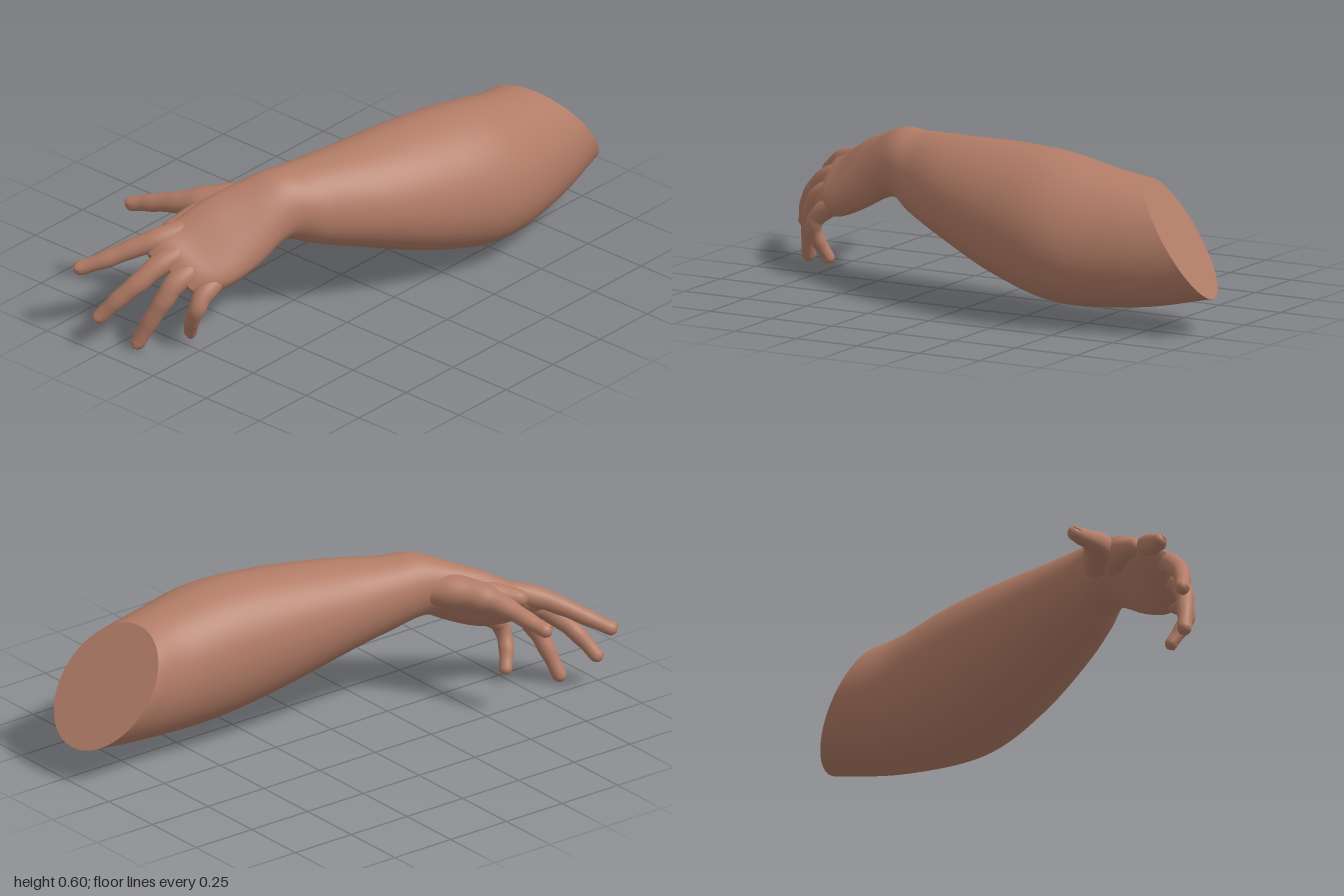
import * as THREE from 'three';

const V = (a) => new THREE.Vector3(...a);
const skinMaterial = new THREE.MeshStandardMaterial({ color: 0xb27c66 });
const DORSAL = V([0.52, 0.71, 0.47]).normalize(); // direction the back of the hand faces

// Surface through rings { c, u, v, e }: centre, two semi-axes, exponent (below 1 is boxier).
function skin(name, rings, sides) {
  const pos = [], index = [];
  const power = (x, e) => Math.sign(x) * Math.abs(x) ** e;
  for (const { c, u, v, e = 1 } of rings) {
    for (let j = 0; j < sides; j++) {
      const a = (j / sides) * Math.PI * 2;
      const p = c.clone().addScaledVector(u, power(Math.cos(a), e)).addScaledVector(v, power(Math.sin(a), e));
      pos.push(p.x, p.y, p.z);
    }
  }
  for (let i = 0; i < rings.length - 1; i++) {
    for (let j = 0; j < sides; j++) {
      const k = (j + 1) % sides, a = i * sides, b = a + sides;
      index.push(a + j, a + k, b + j, a + k, b + k, b + j);
    }
  }
  const geo = new THREE.BufferGeometry();
  geo.setAttribute('position', new THREE.Float32BufferAttribute(pos, 3));
  geo.setIndex(index);
  geo.computeVertexNormals();
  const mesh = new THREE.Mesh(geo, skinMaterial);
  mesh.name = name;
  return mesh;
}

const spline = (points) => new THREE.CatmullRomCurve3(points, false, 'catmullrom', 0.5);
const dot = (c) => ({ c: c.clone(), u: new THREE.Vector3(), v: new THREE.Vector3() });

// Rounded tapering limb along points, with slight swellings at the joints.
function digit(name, points, radii, { bulge = 0.03, up = DORSAL, flat = 0.95 } = {}) {
  const path = spline(points.map(V));
  const size = spline(radii.map((r) => new THREE.Vector3(r, 0, 0)));
  const segs = points.length - 1, steps = segs * 10, rings = [];
  const ring = (c, d, r) => {
    const v = up.clone().addScaledVector(d, -up.dot(d)).normalize();
    const u = v.clone().cross(d).multiplyScalar(r);
    rings.push({ c, u, v: v.multiplyScalar(r * flat) });
  };
  for (let i = 0; i <= steps; i++) {
    const t = i / steps;
    const r = size.getPoint(t).x * (1 + bulge * Math.cos(t * segs * Math.PI * 2));
    ring(path.getPoint(t), path.getTangent(t), r);
  }
  // rounded tip
  const end = path.getPoint(1), d = path.getTangent(1), r = radii[segs] * (1 + bulge);
  for (let i = 1; i <= 8; i++) {
    const a = (i / 8) * Math.PI / 2;
    ring(end.clone().addScaledVector(d, r * Math.sin(a)), d, Math.max(r * Math.cos(a), 1e-5));
  }
  return skin(name, rings, 24);
}

// Shallow nail resting on the last joint.
function nail(name, points, r, up = DORSAL) {
  const path = spline(points.map(V)), d = path.getTangent(1);
  const v = up.clone().addScaledVector(d, -up.dot(d)).normalize();
  const mesh = new THREE.Mesh(new THREE.SphereGeometry(1, 20, 12), skinMaterial);
  mesh.name = name;
  mesh.scale.set(r * 0.62, r * 0.24, r * 0.85);
  mesh.quaternion.setFromRotationMatrix(new THREE.Matrix4().makeBasis(v.clone().cross(d), v, d));
  mesh.position.copy(path.getPoint(1)).addScaledVector(v, r * 0.76);
  return mesh;
}

export function createModel() {
  const arm = new THREE.Group();
  arm.name = 'arm';

  // Forearm, wrist and palm: centre, sideways semi-axis, upward semi-axis
  const sections = [
    [[0.2, 0.335, -0.855], [0.187, 0, -0.048], [0.005, 0.203, 0.135]],
    [[0.23, 0.322, -0.66], [0.203, 0, -0.028], [-0.015, 0.238, 0.07]],
    [[0.235, 0.334, -0.4], [0.235, 0, -0.01], [-0.03, 0.262, 0.02]],
    [[0.192, 0.366, -0.15], [0.223, -0.01, 0], [-0.02, 0.234, 0]],
    [[0.13, 0.403, 0.1], [0.188, -0.02, 0], [-0.005, 0.182, 0]],
    [[0.067, 0.427, 0.28], [0.145, -0.03, 0], [0.005, 0.142, 0]],
    [[0.02, 0.445, 0.4], [0.117, -0.048, 0], [0.03, 0.11, 0.01]],
    [[-0.025, 0.388, 0.54], [0.114, -0.097, 0], [0.036, 0.056, 0.032]],
    [[-0.073, 0.327, 0.665], [0.122, -0.088, -0.01], [0.03, 0.043, 0.028]],
    [[-0.1, 0.305, 0.735], [0.11, -0.074, -0.02], [0.025, 0.034, 0.023]],
    [[-0.112, 0.283, 0.785], [0.088, -0.052, -0.02], [0.012, 0.016, 0.012]],
  ];
  const [cs, us, vs] = [0, 1, 2].map((k) => spline(sections.map((s) => V(s[k]))));
  const rings = [];
  for (let i = 0; i <= 80; i++) {
    const t = i / 80, e = 1 - 0.25 * THREE.MathUtils.smoothstep(t, 0.6, 0.8);
    rings.push({ c: cs.getPoint(t), u: us.getPoint(t), v: vs.getPoint(t), e });
  }
  arm.add(skin('forearmAndPalm', [...rings, dot(rings[80].c)], 64));

  // Flat cut at the elbow end
  arm.add(skin('elbowCap', [dot(rings[0].c), rings[0]], 64));

  // Fingers, each running from inside the palm over its knuckle to the tip
  const fingers = {
    indexFinger: [[-0.075, 0.44, 0.54], [-0.192, 0.38, 0.742], [-0.26, 0.345, 0.82], [-0.325, 0.305, 0.885], [-0.393, 0.27, 0.942]],
    middleFinger: [[-0.04, 0.4, 0.54], [-0.137, 0.325, 0.772], [-0.185, 0.255, 0.87], [-0.235, 0.19, 0.925], [-0.285, 0.122, 0.963]],
    ringFinger: [[0, 0.363, 0.54], [-0.073, 0.275, 0.765], [-0.1, 0.2, 0.83], [-0.135, 0.12, 0.86], [-0.173, 0.028, 0.885]],
    littleFinger: [[0.04, 0.328, 0.54], [0.005, 0.235, 0.715], [0, 0.175, 0.765], [-0.03, 0.11, 0.76], [-0.056, 0.052, 0.737]],
  };
  for (const [name, points] of Object.entries(fingers)) {
    const k = name === 'littleFinger' ? 0.88 : 1;
    arm.add(digit(name, points, [0.034, 0.041, 0.035, 0.031, 0.026].map((r) => r * k)));
    arm.add(nail(name + 'Nail', points, 0.026 * k));
  }

  // Thumb and the web of flesh joining it to the palm
  const thumbUp = V([0.1, 0.8, 0.6]).normalize();
  const thumb = [[0.03, 0.44, 0.33], [-0.1, 0.447, 0.455], [-0.2, 0.434, 0.525], [-0.285, 0.417, 0.56], [-0.38, 0.392, 0.587], [-0.445, 0.374, 0.608]];
  arm.add(digit('thumb', thumb, [0.05, 0.064, 0.054, 0.039, 0.032, 0.027], { up: thumbUp }));
  arm.add(nail('thumbNail', thumb, 0.027, thumbUp));
  arm.add(digit('thumbWeb', [[-0.03, 0.41, 0.46], [-0.135, 0.412, 0.57], [-0.193, 0.387, 0.68]],
    [0.05, 0.062, 0.04], { bulge: 0, flat: 0.85 }));

  return arm;
}
